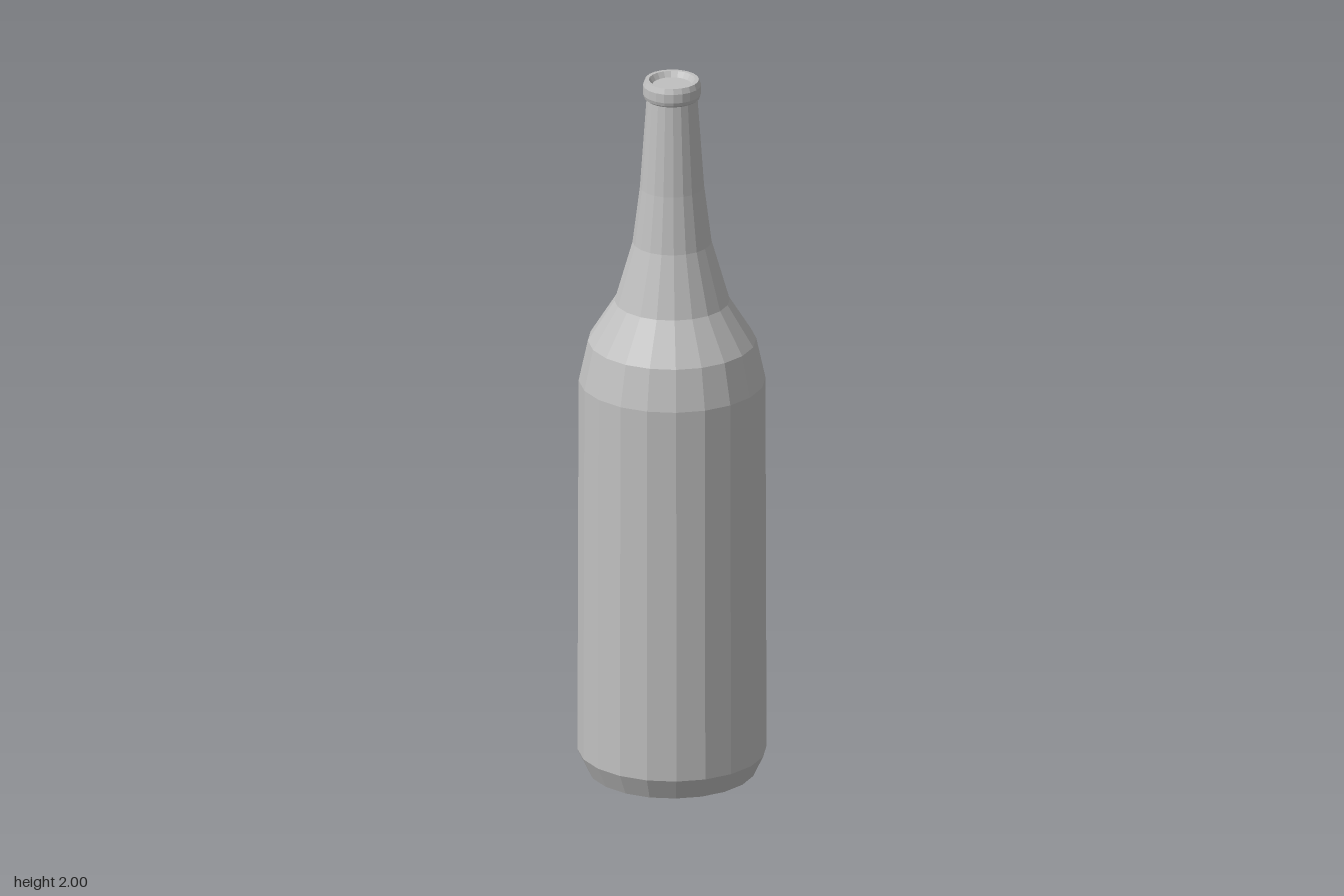
import * as THREE from 'three';

const SIDES = 20;

export function createModel() {
  const glass = new THREE.MeshStandardMaterial({ color: 0xc0c0c0, flatShading: true });
  glass.name = 'grey glass';
  const model = new THREE.Group();
  model.name = 'bottle';

  // Turns a [radius, height] profile, listed from bottom to top
  const turn = (name, profile) => {
    const points = profile.map(([r, y]) => new THREE.Vector2(r, y));
    const mesh = new THREE.Mesh(new THREE.LatheGeometry(points, SIDES), glass);
    mesh.name = name;
    model.add(mesh);
  };

  // Closed base, bevelled foot and slightly tapering body
  turn('body', [[0, 0], [0.228, 0], [0.256, 0.06], [0.253, 1.13]]);

  // Rounded shoulder running up into the neck
  turn('shoulder', [[0.253, 1.13], [0.228, 1.245], [0.156, 1.36], [0.107, 1.53]]);

  // Slender neck
  turn('neck', [[0.107, 1.53], [0.087, 1.69], [0.069, 1.945]]);

  // Lip ring with a shallow recessed mouth
  turn('lip', [
    [0.069, 1.945], [0.076, 1.95], [0.079, 1.96], [0.079, 1.985], [0.073, 2],
    [0.0625, 2], [0.053, 1.985], [0, 1.985],
  ]);

  return model;
}
